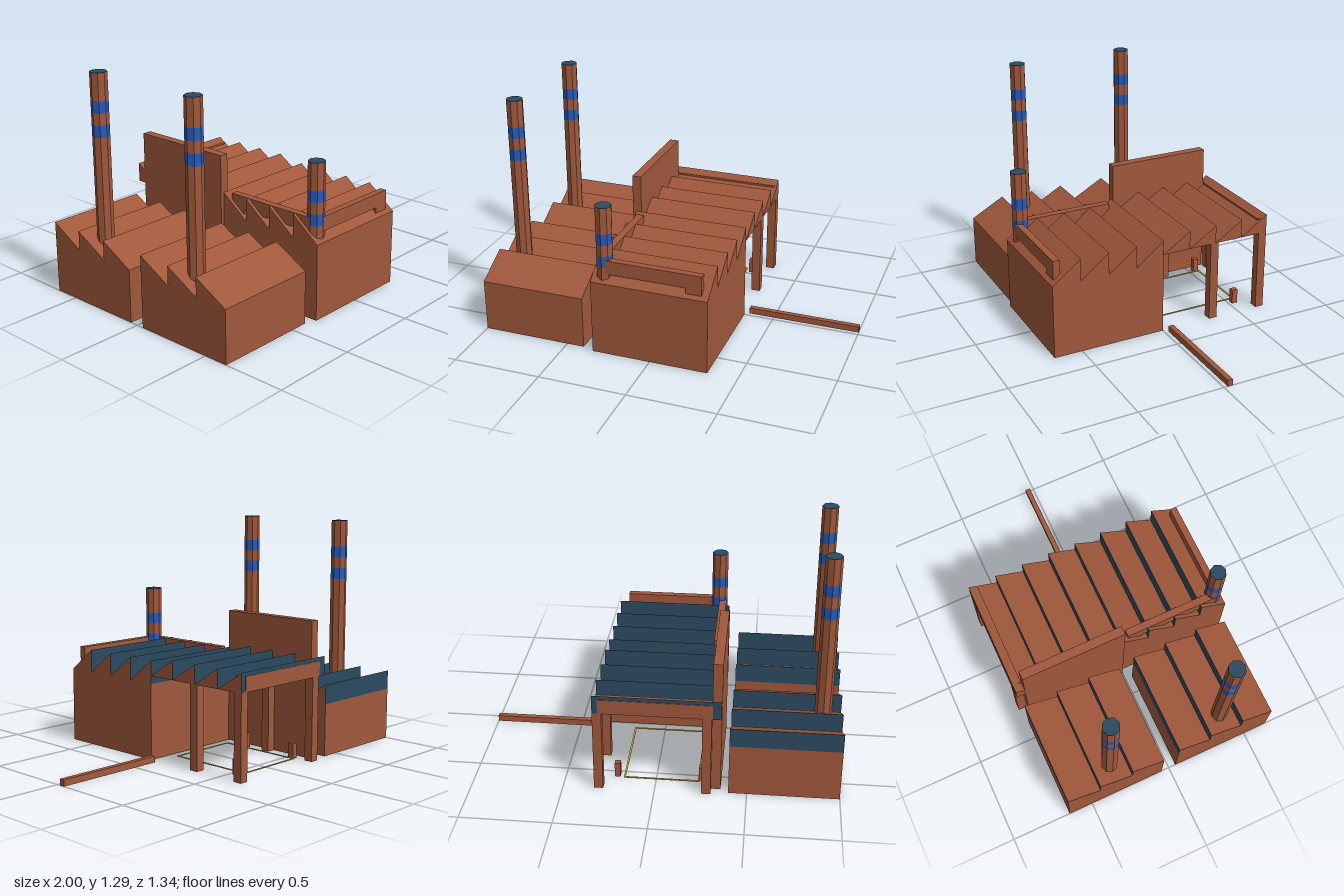
import * as THREE from 'three';

export function createModel() {
  const model = new THREE.Group();
  model.name = 'factory';

  const mat = (name, color) => {
    const m = new THREE.MeshStandardMaterial({ color, side: THREE.DoubleSide, flatShading: true });
    m.name = name;
    return m;
  };
  const brick = mat('brick', 0xa0583c);
  const glass = mat('darkGlass', 0x2b4a60);
  const blue = mat('blueBand', 0x2a5ab8);
  const yellow = mat('yellowLine', 0xc9a23a);

  const add = (name, geometry, material, parent = model) => {
    const mesh = new THREE.Mesh(geometry, material);
    mesh.name = name;
    parent.add(mesh);
    return mesh;
  };

  // Box given by its lower and upper limits on each axis
  const block = (name, [x0, x1], [y0, y1], [z0, z1], material = brick, parent = model) => {
    const g = new THREE.BoxGeometry(x1 - x0, y1 - y0, z1 - z0);
    g.translate((x0 + x1) / 2, (y0 + y1) / 2, (z0 + z1) / 2);
    return add(name, g, material, parent);
  };

  const faces = (corners) => {
    const g = new THREE.BufferGeometry();
    g.setAttribute('position', new THREE.Float32BufferAttribute(corners.flat(), 3));
    g.computeVertexNormals();
    return g;
  };

  // Sawtooth roof: each tooth rises toward the back and ends in a glass face
  function sawtooth(name, x0, x1, zFront, zBack, yLow, yHigh, count) {
    const roof = new THREE.Group();
    roof.name = name;
    model.add(roof);
    const step = (zFront - zBack) / count;
    for (let i = 0; i < count; i++) {
      const zf = zFront - i * step, zb = zf - step;
      const fl = [x0, yLow, zf], fr = [x1, yLow, zf];
      const tl = [x0, yHigh, zb], tr = [x1, yHigh, zb];
      const bl = [x0, yLow, zb], br = [x1, yLow, zb];
      add('roofTooth', faces([
        fl, fr, tr, fl, tr, tl,
        fr, br, tr,
        fl, tl, bl,
      ]), brick, roof);
      add('roofWindow', faces([br, bl, tl, br, tl, tr]), glass, roof);
    }
  }

  // Hollow walls without a floor
  function walls(name, x0, x1, z0, z1, height) {
    const t = 0.02, y = [0, height];
    const g = new THREE.Group();
    g.name = name;
    model.add(g);
    block('frontWall', [x0, x1], y, [z1 - t, z1], brick, g);
    block('backWall', [x0, x1], y, [z0, z0 + t], brick, g);
    block('rightWall', [x0, x0 + t], y, [z0 + t, z1 - t], brick, g);
    block('leftWall', [x1 - t, x1], y, [z0 + t, z1 - t], brick, g);
  }

  // Chimney in stacked octagonal sections with two blue bands and a dark mouth
  function chimney(name, x, z, top) {
    const g = new THREE.Group();
    g.name = name;
    g.position.set(x, 0, z);
    model.add(g);
    const levels = [0, top - 0.345, top - 0.28, top - 0.215, top - 0.15, top];
    for (let i = 0; i < 5; i++) {
      const h = levels[i + 1] - levels[i];
      const section = new THREE.CylinderGeometry(0.047, 0.047, h, 8, 1, true);
      section.translate(0, levels[i] + h / 2, 0);
      add(i % 2 ? 'chimneyBand' : 'chimneyShaft', section, i % 2 ? blue : brick, g);
    }
    const disc = new THREE.CylinderGeometry(0.047, 0.047, 0.004, 8);
    add('chimneyMouth', disc, glass, g).position.y = top;
    add('chimneyFoot', disc, brick, g).position.y = 0.002;
  }

  // Main hall
  walls('mainHall', -0.335, 0.33, 0, 0.665, 0.43);
  sawtooth('mainHallRoof', -0.335, 0.33, 0.665, 0, 0.43, 0.56, 4);

  // Two side halls
  for (const [z0, z1] of [[-0.645, -0.047], [0.043, 0.642]]) {
    walls('sideHall', -1, -0.4, z0, z1, 0.3);
    sawtooth('sideHallRoof', -1, -0.4, z1, z0, 0.3, 0.41, 3);
  }

  // Open canopy on columns, closed on one side by a tall wall
  sawtooth('canopyRoof', -0.355, 0.33, 0, -0.667, 0.475, 0.583, 4);
  block('tallWall', [-0.357, -0.305], [0, 0.777], [-0.615, 0]);
  for (const z of [-0.667, -0.352])
    for (const x of [-0.305, 0.28])
      block('canopyColumn', [x, x + 0.05], [0, 0.476], [z, z + 0.05]);
  block('canopyBeam', [-0.305, 0.315], [0.476, 0.562], [-0.645, -0.617]);
  block('canopyBackPanel', [-0.31, 0.3], [0.476, 0.56], [-0.67, -0.664]);

  // Chimneys
  chimney('tallChimney', -0.895, -0.345, 1.29);
  chimney('tallChimney', -0.895, 0.345, 1.29);
  chimney('shortChimney', -0.272, 0.603, 0.862);

  // Roof ducts leading to the short chimney
  block('frontDuct', [-0.272, 0.29], [0.48, 0.56], [0.603, 0.643]);
  block('frontDuctFoot', [0.2, 0.29], [0.44, 0.48], [0.603, 0.643]);
  block('sideDuct', [-0.315, -0.272], [0.48, 0.56], [0.043, 0.603]);
  block('sideDuctFoot', [-0.315, -0.272], [0.44, 0.48], [0.043, 0.13]);

  // Low ground beam
  block('groundBeam', [0.355, 1], [0, 0.036], [-0.053, -0.023]);

  // Small machine posts
  for (const [x, z] of [[-0.25, -0.187], [-0.25, -0.535], [0.215, -0.535],
    [-0.25, 0.43], [0.05, 0.6], [0.26, 0.6]])
    block('post', [x - 0.016, x + 0.016], [0, 0.086], [z - 0.017, z + 0.017]);

  // Yellow floor marking under the canopy
  const y = [0, 0.004], a = -0.24, b = 0.18, c = -0.56, d = -0.05, w = 0.01;
  for (const z of [c, d - w]) block('floorLine', [a, b], y, [z, z + w], yellow);
  for (const x of [a, b - w]) block('floorLine', [x, x + w], y, [c + w, d - w], yellow);

  return model;
}
